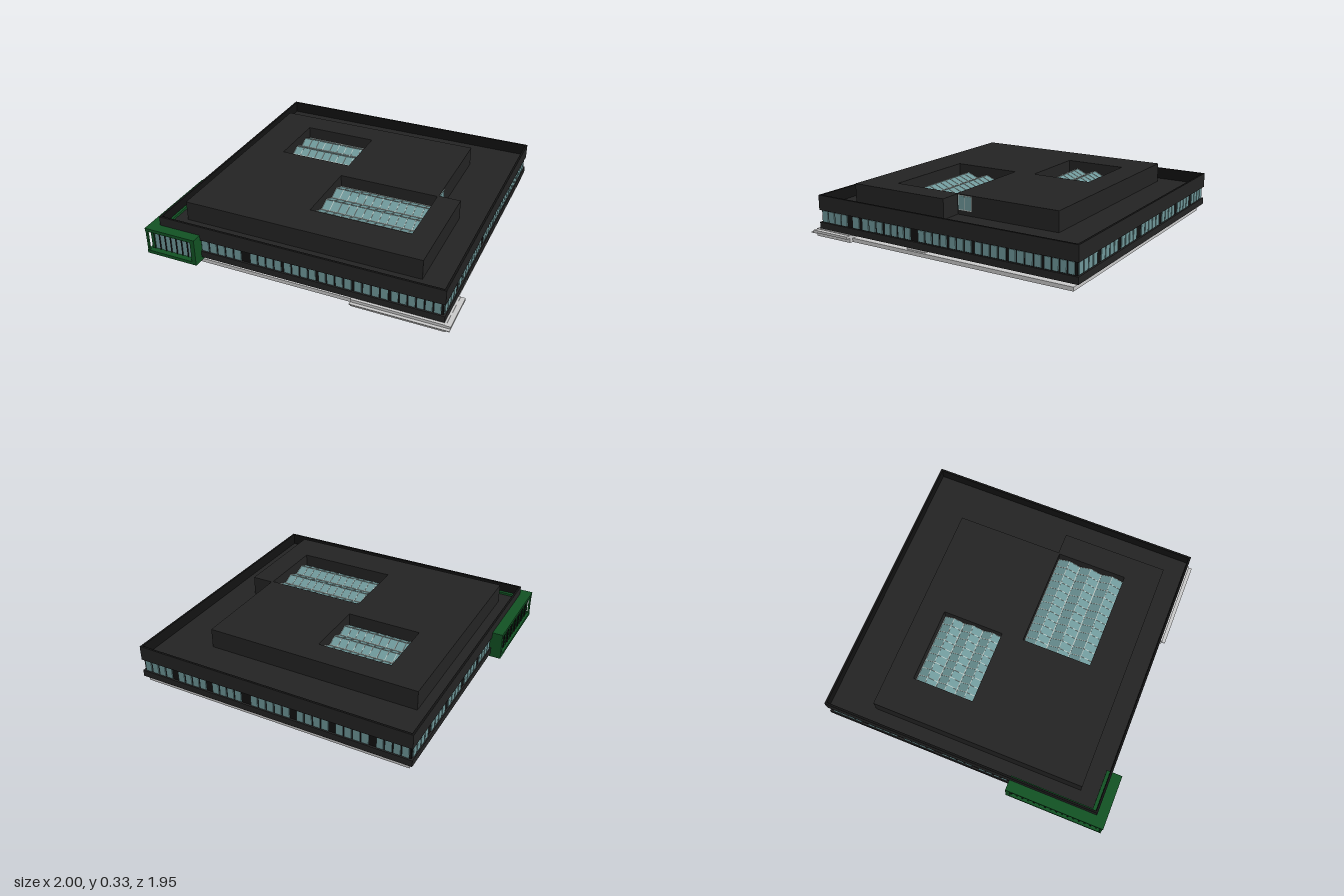
import * as THREE from 'three';

const mat = (color) => new THREE.MeshStandardMaterial({ color });
const GREY = mat(0xcccccc), DARK = mat(0x242424), BLACK = mat(0x121212);
const GLASS = mat(0x70999b), GREEN = mat(0x125324), PALE = mat(0xb9c4c0);

// Plan rectangles are [x0, x1, z0, z1]
const rectPoints = ([x0, x1, z0, z1]) => [[x0, z0], [x0, z1], [x1, z1], [x1, z0]];
const inset = ([x0, x1, z0, z1], d) => [x0 + d, x1 - d, z0 + d, z1 - d];
const toVectors = (pts) => pts.map(([x, z]) => new THREE.Vector2(x, -z));

function add(parent, name, geometry, material) {
  const mesh = new THREE.Mesh(geometry, material);
  mesh.name = name;
  parent.add(mesh);
  return mesh;
}

// Flat plan outline with holes, raised from y0 to y1
function layer(parent, name, points, y0, y1, material, holes = []) {
  const shape = new THREE.Shape(toVectors(points));
  for (const h of holes) shape.holes.push(new THREE.Path(toVectors(rectPoints(h)).reverse()));
  const geo = new THREE.ExtrudeGeometry(shape, { depth: y1 - y0, bevelEnabled: false });
  geo.rotateX(-Math.PI / 2).translate(0, y0, 0);
  return add(parent, name, geo, material);
}

function box(parent, name, [x0, x1, z0, z1], y0, y1, material) {
  const geo = new THREE.BoxGeometry(x1 - x0, y1 - y0, z1 - z0);
  geo.translate((x0 + x1) / 2, (y0 + y1) / 2, (z0 + z1) / 2);
  return add(parent, name, geo, material);
}

// Three glazed ridges running along x, with glazing bars on both slopes
function skylight([x0, x1, z0, z1], bays) {
  const group = new THREE.Group();
  group.name = 'skylight';
  const low = 0.24, high = 0.272, step = (z1 - z0) / 3, half = step / 2;
  const slope = Math.atan2(high - low, half), length = Math.hypot(high - low, half);
  for (let i = 0; i < 3; i++) {
    const za = z0 + i * step, zm = za + half;
    const tri = new THREE.Shape([
      new THREE.Vector2(-za, low), new THREE.Vector2(-zm, high), new THREE.Vector2(-za - step, low)]);
    const geo = new THREE.ExtrudeGeometry(tri, { depth: x1 - x0, bevelEnabled: false });
    geo.rotateY(Math.PI / 2).translate(x0, 0, 0);
    add(group, 'glassRidge', geo, GLASS);
    box(group, 'ridgeBar', [x0, x1, zm - 0.002, zm + 0.002], high - 0.003, high + 0.002, PALE);
    box(group, 'valleyBar', [x0, x1, za - 0.003, za + 0.003], low, low + 0.005, PALE);
    for (let j = 0; j <= bays; j++) {
      for (const s of [-1, 1]) {
        const bar = add(group, 'glazingBar', new THREE.BoxGeometry(0.004, 0.003, length), PALE);
        bar.position.set(x0 + (x1 - x0) * j / bays, (low + high) / 2 + 0.001, zm + s * half / 2);
        bar.rotation.x = s * slope;
      }
    }
  }
  return group;
}

// A row of panes; groups are [start, end] along a wall facing +z at distance d
function windowRow(name, groups, d) {
  const row = new THREE.Group();
  row.name = name;
  for (const [a, b] of groups) {
    const n = Math.max(1, Math.round((b - a) / 0.055)), pitch = (b - a) / n;
    for (let i = 0; i < n; i++) {
      const x = a + i * pitch;
      box(row, 'windowPane', [x + 0.005, x + pitch - 0.005, d - 0.01, d], 0.096, 0.169, GLASS);
    }
  }
  return row;
}

export function createModel() {
  const model = new THREE.Group();
  const plan = [-0.93, 0.957, -0.979, 0.906];
  const outline = rectPoints(plan);
  const atria = [[-0.06, 0.38, 0.06, 0.53], [-0.4, -0.08, -0.45, -0.1]];
  const wells = [[-0.06, 0.615, 0.06, 0.53], [-0.57, -0.07, -0.5, -0.085]];
  const stair = [0.29, 0.4, -0.5, -0.07];
  const pits = [[0.65, 0.93, 0.07, 0.21], [-0.88, -0.73, 0.08, 0.23]];

  // Plinth with openings below the courtyards, stairwell and entrance pits
  const plinth = [[-0.9, -0.945], [-0.9, 0.89], [0.945, 0.89], [0.945, -0.945]];
  layer(model, 'plinth', plinth, 0, 0.025, GREY, [...atria, stair, ...pits]);

  // Entrance pits: low walls, ceiling and steps climbing inward
  for (const p of pits) {
    layer(model, 'pitWall', rectPoints(p), 0.02, 0.09, GREY, [inset(p, 0.008)]);
    box(model, 'pitCeiling', inset(p, 0.004), 0.082, 0.091, GREY);
    const inner = p[0] > 0 ? p[0] : p[1], dir = Math.sign(p[0]);
    for (let i = 0; i < 3; i++) {
      const a = inner + dir * (0.01 + i * 0.035), b = a + dir * 0.035;
      box(model, 'pitStep', [Math.min(a, b), Math.max(a, b), p[2] + 0.01, p[3] - 0.01], 0.066 - i * 0.018, 0.085, GREY);
    }
  }

  // Green stairwell, open below
  layer(model, 'stairwellWall', rectPoints(stair), 0.02, 0.09, GREEN, [inset(stair, 0.008)]);
  box(model, 'stairwellCeiling', inset(stair, 0.004), 0.08, 0.091, GREEN);

  // Corner entrance steps
  box(model, 'innerStep', [0.385, 0.97, 0.64, 0.925], 0, 0.049, GREY);
  box(model, 'sideStep', [0.95, 1, 0.64, 0.925], 0.03, 0.046, GREY);
  box(model, 'frontTread', [0.385, 1, 0.9, 0.947], 0.026, 0.031, GREY);

  // Main storey: sill, recessed window band, roof deck and tall parapet
  layer(model, 'sill', outline, 0.048, 0.092, DARK, [...atria, stair, ...pits]);
  layer(model, 'windowBand', rectPoints(inset(plan, 0.012)), 0.092, 0.173, BLACK, atria);
  layer(model, 'roofDeck', outline, 0.173, 0.195, DARK, atria);
  layer(model, 'parapetFace', outline, 0.195, 0.272, DARK, [inset(plan, 0.002)]);
  layer(model, 'parapetLining', rectPoints(inset(plan, 0.002)), 0.195, 0.272, BLACK, [inset(plan, 0.014)]);

  // Raised L-shaped roof with two skylight wells
  const upper = [[-0.82, -0.67], [-0.82, 0.76], [0.768, 0.76], [0.768, 0.05], [0.622, 0.05], [0.622, -0.67]];
  layer(model, 'upperRoof', upper, 0.195, 0.327, DARK, wells);
  box(model, 'roofWindowFrame', [0.61, 0.6235, -0.055, 0.045], 0.225, 0.322, PALE);
  for (const z of [-0.052, -0.003]) {
    box(model, 'roofWindowPane', [0.615, 0.625, z, z + 0.045], 0.23, 0.318, GLASS);
  }
  model.add(skylight(wells[0], 12), skylight(wells[1], 9));

  // Courtyard linings and galleries, seen through the open floor
  for (const a of atria) {
    layer(model, 'courtyardWall', rectPoints(a), 0.025, 0.2, GREY, [inset(a, 0.01)]);
    layer(model, 'gallery', rectPoints(inset(a, 0.01)), 0.1, 0.115, GREY, [inset(a, 0.03)]);
    for (let i = 0; i < 4; i++) {
      const x = a[0] + 0.06 + i * (a[1] - a[0] - 0.12) / 4, z = a[2] + 0.05 + i * (a[3] - a[2] - 0.1) / 4;
      box(model, 'courtyardWindow', [x, x + 0.05, a[3] - 0.014, a[3] - 0.01], 0.12, 0.18, BLACK);
      box(model, 'courtyardWindow', [x, x + 0.05, a[2] + 0.01, a[2] + 0.014], 0.12, 0.18, BLACK);
      box(model, 'courtyardWindow', [a[1] - 0.014, a[1] - 0.01, z, z + 0.05], 0.12, 0.18, BLACK);
    }
  }
  box(model, 'courtyardGreenWall', [-0.05, -0.015, 0.34, 0.52], 0.03, 0.2, GREEN);
  box(model, 'courtyardGlass', [-0.05, -0.025, 0.07, 0.34], 0.03, 0.2, GLASS);
  box(model, 'courtyardGreenLedge', [-0.055, -0.01, 0.065, 0.525], 0.018, 0.03, GREEN);

  // Window rows on all four sides
  const front = [[-0.64, -0.35], [-0.295, -0.075], [-0.065, 0.155], [0.165, 0.385], [0.395, 0.615], [0.625, 0.935]];
  const right = [[-0.89, -0.67], [-0.63, -0.57], [-0.55, -0.38], [-0.37, -0.16], [-0.11, 0.11],
    [0.12, 0.285], [0.3, 0.52], [0.53, 0.75], [0.76, 0.955]];
  const back = [[-0.94, -0.72], [-0.68, -0.46], [-0.42, -0.2], [-0.14, 0.14], [0.18, 0.4], [0.44, 0.66], [0.7, 0.91]];
  const left = [[-0.955, -0.74], [-0.7, -0.48], [-0.44, -0.22], [-0.17, 0.05], [0.09, 0.3]];
  const sides = [['frontWindows', front, 0.9, 0], ['sideWindows', right, 0.951, Math.PI / 2],
    ['rearWindows', back, 0.973, Math.PI], ['farSideWindows', left, 0.924, -Math.PI / 2]];
  for (const [name, groups, d, turn] of sides) {
    const row = windowRow(name, groups, d);
    row.rotation.y = turn;
    model.add(row);
  }

  // Green corner bay: floor, roof and end walls around recessed glazing
  const bay = [[-1, 0.315], [-1, 0.974], [-0.64, 0.974], [-0.64, 0.87], [-0.9, 0.87], [-0.9, 0.315]];
  layer(model, 'bayFloor', bay, 0.025, 0.047, GREEN);
  layer(model, 'bayRoof', bay, 0.188, 0.21, GREEN);
  box(model, 'bayFrontEnd', [-0.67, -0.64, 0.87, 0.974], 0.04, 0.2, GREEN);
  box(model, 'bayRearEnd', [-1, -0.9, 0.315, 0.345], 0.04, 0.2, GREEN);
  box(model, 'bayFrontGlass', [-0.968, -0.67, 0.9, 0.935], 0.047, 0.188, GLASS);
  box(model, 'baySideGlass', [-0.965, -0.93, 0.345, 0.935], 0.047, 0.188, GLASS);
  for (let i = 0; i <= 7; i++) {
    const x = -0.968 + i * 0.041;
    box(model, 'bayFrontMullion', [x, x + 0.007, 0.93, 0.94], 0.047, 0.188, BLACK);
  }
  for (let i = 0; i <= 15; i++) {
    const z = 0.345 + i * 0.039;
    box(model, 'baySideMullion', [-0.985, -0.96, z, z + 0.01], 0.047, 0.188, i % 2 ? GREEN : BLACK);
  }
  box(model, 'bayCornerPost', [-0.998, -0.985, 0.959, 0.972], 0.047, 0.188, GREEN);
  return model;
}
